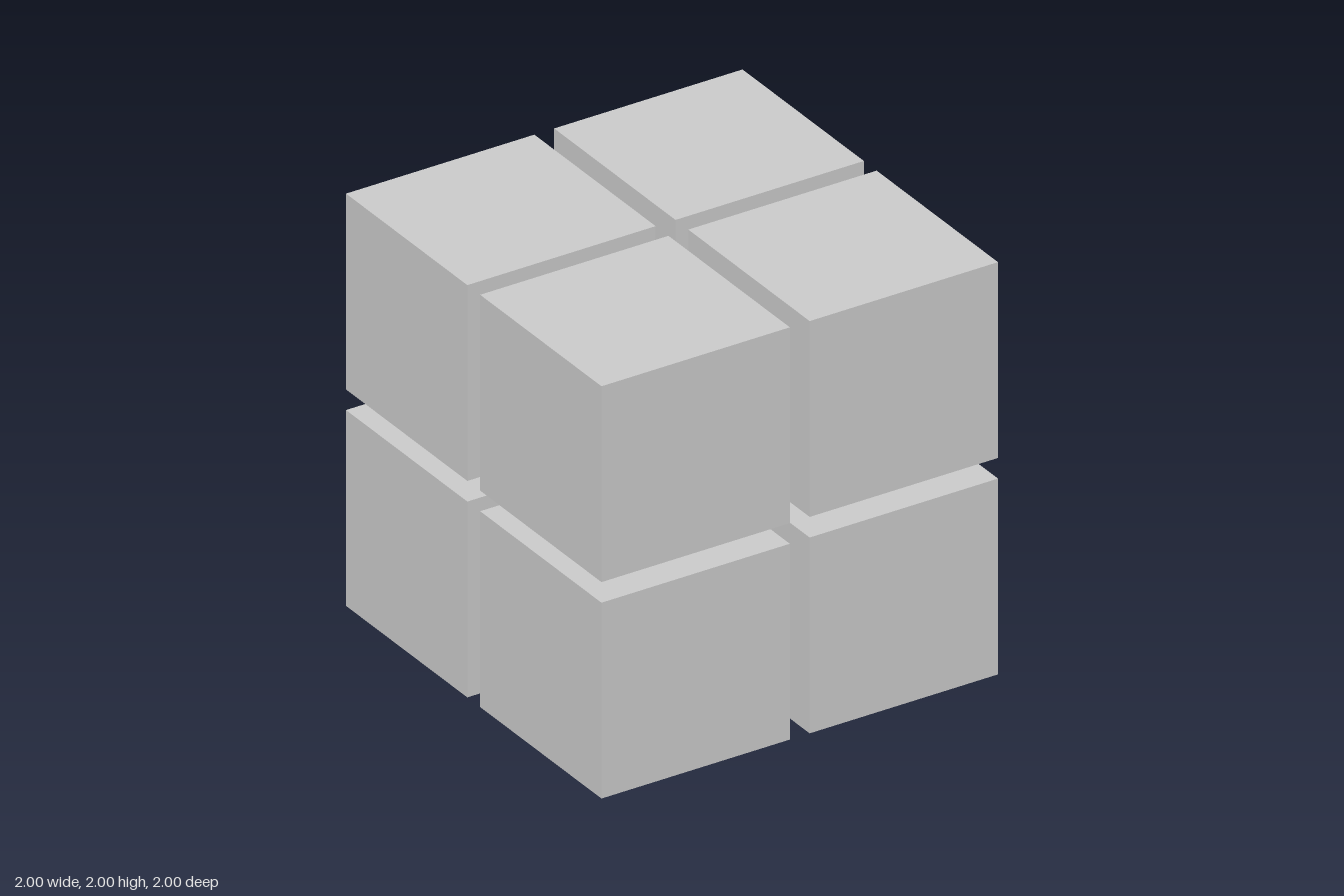
import * as THREE from 'three';

const SIZE = 0.95; // edge of one cube
const GAP = 0.1;   // space between neighbours

export function createModel() {
  const model = new THREE.Group();
  model.name = 'cubeGrid';
  const geometry = new THREE.BoxGeometry(SIZE, SIZE, SIZE);
  const material = new THREE.MeshStandardMaterial({ color: 0xcccccc, flatShading: true });
  const offset = (SIZE + GAP) / 2;

  // Eight separate cubes, one in each corner
  for (const y of [-1, 1]) {
    for (const z of [-1, 1]) {
      for (const x of [-1, 1]) {
        const cube = new THREE.Mesh(geometry, material);
        cube.name = `${y > 0 ? 'top' : 'bottom'}${z > 0 ? 'Front' : 'Back'}${x > 0 ? 'Left' : 'Right'}Cube`;
        cube.position.set(x * offset, 1 + y * offset, z * offset);
        model.add(cube);
      }
    }
  }
  return model;
}
